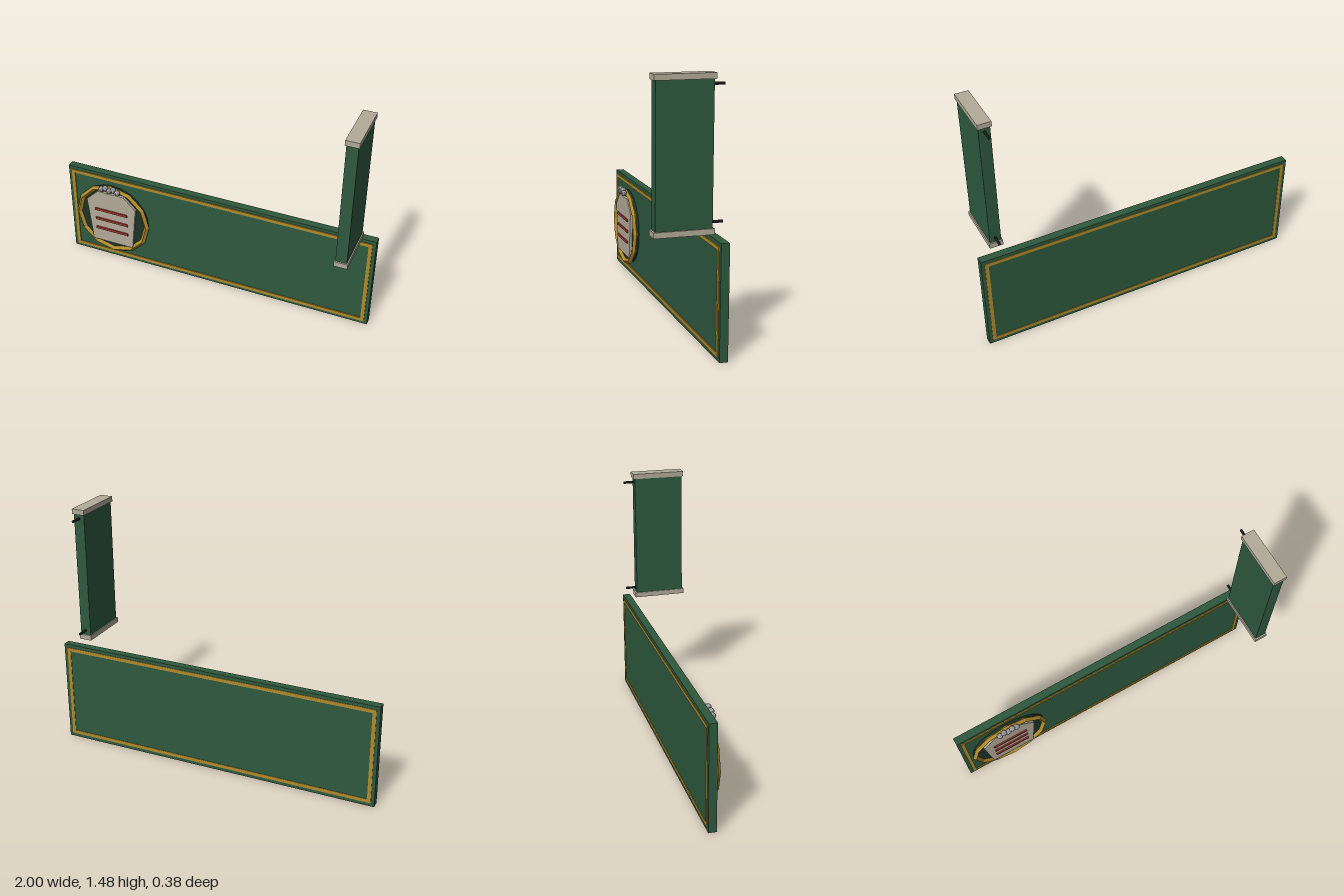
import * as THREE from 'three';

const mat = (color) => new THREE.MeshStandardMaterial({ color, flatShading: true });

export function createModel() {
  const model = new THREE.Group();
  const green = mat(0x2e593e), darkGreen = mat(0x1c3326), gold = mat(0xb08a2c);
  const stone = mat(0xb3ab99), red = mat(0xa03a30), iron = mat(0x262c2a), silver = mat(0xa0a0a4);

  const add = (name, geometry, material, x, y, z, parent = model) => {
    const mesh = new THREE.Mesh(geometry, material);
    mesh.name = name;
    mesh.position.set(x, y, z);
    parent.add(mesh);
    return mesh;
  };
  const box = (name, w, h, d, material, x, y, z, parent) =>
    add(name, new THREE.BoxGeometry(w, h, d), material, x, y, z, parent);

  // Long fascia board
  box('board', 2, 0.632, 0.047, green, 0, 0.316, -0.1635);

  // Gold border, front and back
  const border = new THREE.Shape();
  const rect = (path, x, y0, y1) =>
    path.moveTo(-x, y0).lineTo(x, y0).lineTo(x, y1).lineTo(-x, y1).closePath();
  rect(border, 0.979, 0.021, 0.611);
  const opening = new THREE.Path();
  rect(opening, 0.957, 0.043, 0.589);
  border.holes.push(opening);
  const trim = (name, z, depth) =>
    add(name, new THREE.ExtrudeGeometry(border, { depth, bevelEnabled: false }), gold, 0, 0, z);
  trim('frontBorder', -0.141, 0.007);
  trim('backBorder', -0.19, 0.004);

  // Round medallion on the front of the board
  const medallion = new THREE.Group();
  medallion.name = 'medallion';
  medallion.position.set(-0.695, 0.313, 0);
  model.add(medallion);
  add('medallionDisc', new THREE.CylinderGeometry(0.243, 0.243, 0.024, 24), darkGreen, 0, 0, -0.13, medallion)
    .rotation.x = Math.PI / 2;
  add('medallionRing', new THREE.TorusGeometry(0.239, 0.017, 4, 12), gold, 0, 0, -0.118, medallion);

  // Tapered plaque with clipped top corners
  const plaque = new THREE.Shape([
    [-0.139, -0.183], [0.139, -0.183], [0.17, 0.12], [0.09, 0.2], [-0.09, 0.2], [-0.17, 0.12],
  ].map(([x, y]) => new THREE.Vector2(x, y)));
  add('plaque', new THREE.ExtrudeGeometry(plaque, { depth: 0.018, bevelEnabled: false }), stone, 0, 0, -0.12, medallion);
  for (const y of [-0.083, -0.01, 0.063])
    box('plaqueStripe', 0.225, 0.016, 0.01, red, 0, y, -0.099, medallion);

  // Cluster of silver beads over the plaque
  for (let i = 0; i < 5; i++)
    add('bead', new THREE.SphereGeometry(0.019, 8, 6), silver,
      (i - 2) * 0.0275, i % 2 ? 0.247 : 0.234, -0.092, medallion);

  // Projecting blade sign with end caps and wall rods
  const blade = new THREE.Group();
  blade.name = 'bladeSign';
  blade.position.x = 0.882;
  model.add(blade);
  box('bladePanel', 0.066, 0.77, 0.304, green, 0, 1.07, 0.028, blade);
  for (const [capY, rodY] of [[0.676, 0.718], [1.464, 1.422]]) {
    box('bladeCap', 0.079, 0.031, 0.324, stone, 0, capY, 0.028, blade);
    add('wallRod', new THREE.CylinderGeometry(0.008, 0.008, 0.08, 8), iron, 0, rodY, -0.15, blade)
      .rotation.x = Math.PI / 2;
  }
  return model;
}
